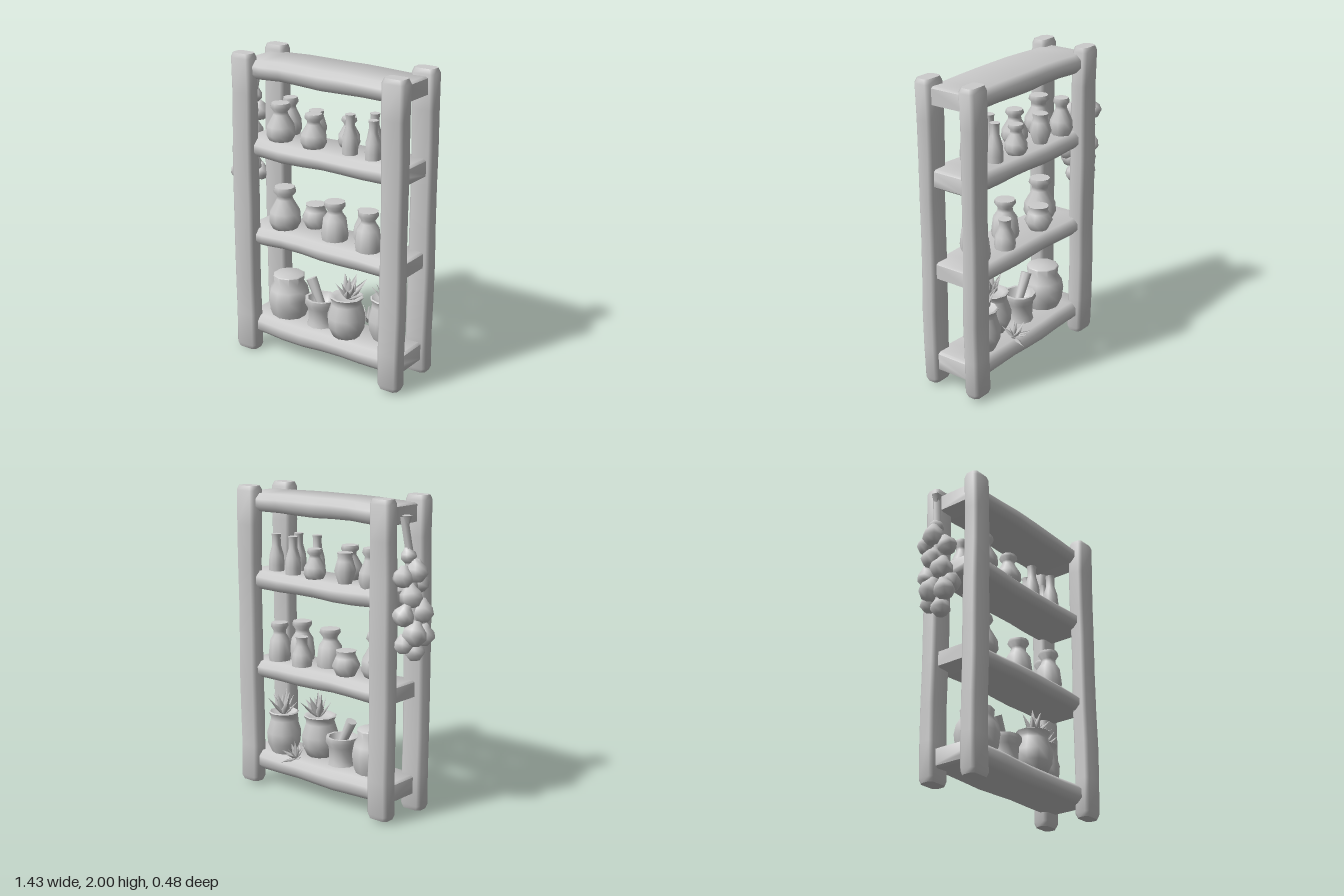
import * as THREE from 'three';
import { toCreasedNormals } from 'three/addons/utils/BufferGeometryUtils.js';

const grey = new THREE.MeshStandardMaterial({ color: 0xcccccc });
grey.name = 'clay grey';

// small repeatable wobble in -1..1
const wobble = (a, b) => Math.sin(a * 12.9 + b * 4.7 + 1.3) * Math.cos(a * 3.1 - b * 7.3);

// hand-hewn beam along y: chamfered rectangular section, slightly uneven
function beamGeometry(length, w, d, chamfer, seed, rough, rings = 8) {
  const x = w / 2, z = d / 2, c = chamfer;
  const section = [[x, -z + c], [x, z - c], [x - c, z], [-x + c, z],
    [-x, z - c], [-x, -z + c], [-x + c, -z], [x - c, -z]];
  const pos = [], index = [], n = section.length;
  const levels = [0, 0.015];
  for (let i = 1; i < rings; i++) levels.push(i / rings);
  levels.push(0.985, 1);
  levels.forEach((t, i) => {
    const k = t === 0 || t === 1 ? 0.01 : 0;
    const dx = wobble(seed, t * 3) * rough, dz = wobble(seed + 5, t * 3) * rough;
    const g = wobble(seed + 9, t * 4) * rough * 0.7;
    section.forEach(([px, pz]) => pos.push(
      px + dx + Math.sign(px) * (g - k), (t - 0.5) * length, pz + dz + Math.sign(pz) * (g - k)));
    if (i === 0) return;
    for (let j = 0; j < n; j++) {
      const a = (i - 1) * n + j, b = (i - 1) * n + (j + 1) % n;
      index.push(a, a + n, b, b, a + n, b + n);
    }
  });
  const top = (levels.length - 1) * n;
  for (let j = 1; j < n - 1; j++) {
    index.push(0, j, j + 1);
    index.push(top, top + j + 1, top + j);
  }
  const geo = new THREE.BufferGeometry();
  geo.setAttribute('position', new THREE.Float32BufferAttribute(pos, 3));
  geo.setIndex(index);
  return toCreasedNormals(geo, 0.95);
}

// vessel profiles as [radius, height] fractions of belly radius and full height
const PROFILES = {
  crock: [[0, 0], [0.78, 0], [0.93, 0.18], [1, 0.45], [0.92, 0.65], [0.72, 0.8], [0.76, 0.98], [0.7, 1], [0, 1]],
  planter: [[0, 0], [0.68, 0], [0.95, 0.25], [1, 0.5], [0.78, 0.8], [0.76, 0.88], [0.88, 0.98], [0.8, 1], [0.6, 0.94], [0, 0.93]],
  mortar: [[0, 0], [0.86, 0], [0.78, 0.2], [0.82, 0.66], [1, 0.85], [0.97, 1], [0.8, 1], [0.6, 0.7], [0, 0.65]],
  flask: [[0, 0], [0.75, 0], [1, 0.18], [0.95, 0.4], [0.5, 0.7], [0.48, 0.78], [0.7, 0.88], [0.62, 0.99], [0, 1]],
  jar: [[0, 0], [0.92, 0], [1, 0.15], [0.85, 0.55], [0.55, 0.7], [0.53, 0.78], [0.78, 0.9], [0.72, 0.99], [0, 1]],
  squat: [[0, 0], [0.6, 0], [1, 0.42], [0.75, 0.72], [0.66, 0.82], [0.72, 0.98], [0, 1]],
  slim: [[0, 0], [0.95, 0], [1, 0.2], [0.9, 0.45], [0.56, 0.7], [0.54, 0.9], [0.62, 1], [0, 1]],
  bulb: [[0, 0], [0.55, 0.06], [1, 0.35], [0.9, 0.62], [0.5, 0.85], [0.3, 1], [0, 1]],
};

function vesselGeometry(kind, radius, height, sides = 10) {
  const pts = PROFILES[kind].map(([r, h]) => new THREE.Vector2(r * radius, h * height));
  return toCreasedNormals(new THREE.LatheGeometry(pts, sides), 1.15);
}

function add(parent, name, geo, x = 0, y = 0, z = 0) {
  const mesh = new THREE.Mesh(geo, grey);
  mesh.name = name;
  mesh.position.set(x, y, z);
  parent.add(mesh);
  return mesh;
}

// rosette of broad pointed leaves, widest above the base
function leaves(parent, name, x, y, z, count, length, spread) {
  const tuft = new THREE.Group();
  tuft.name = name;
  tuft.position.set(x, y, z);
  const outline = [[0.06, 0], [0.17, 0.4], [0, 1]].map(([r, h]) => new THREE.Vector2(r * length, h * length));
  for (let i = 0; i < count; i++) {
    const geo = new THREE.LatheGeometry(outline, 4);
    geo.scale(1, 1, 0.35);
    const leaf = add(tuft, 'leaf', geo);
    leaf.rotation.order = 'YXZ';
    leaf.rotation.y = i * 2.4;
    leaf.rotation.x = spread * (0.2 + 0.8 * i / (count - 1));
    leaf.scale.setScalar(0.88 + 0.12 * wobble(i, count));
  }
  parent.add(tuft);
  return tuft;
}

export function createModel() {
  const model = new THREE.Group();
  model.name = 'shelfRack';

  // four posts
  [[-0.483, 0.19, 2.0, 0], [0.635, 0.19, 1.98, 1], [-0.473, -0.136, 1.98, 2], [0.637, -0.136, 1.98, 3]]
    .forEach(([x, z, h, s]) => add(model, 'post', beamGeometry(h, 0.153, 0.109, 0.02, s, 0.004), x, 2 - h / 2, z));

  // four boards
  [[1.9, 0.117], [1.39, 0.117], [0.8, 0.11], [0.168, 0.127]].forEach(([y, h], i) => {
    const geo = beamGeometry(1.19, h, 0.36, 0.035, i + 11, 0.006);
    geo.rotateZ(-Math.PI / 2);
    add(model, 'shelfBoard', geo, 0.085, y, 0.022);
  });

  // vessels: kind, x, z, radius, height
  const rows = [
    [0.225, [
      ['crock', -0.27, 0.03, 0.14, 0.295], ['mortar', -0.01, 0.03, 0.11, 0.19],
      ['planter', 0.22, 0.075, 0.126, 0.28], ['planter', 0.45, -0.03, 0.116, 0.285]]],
    [0.85, [
      ['flask', -0.275, 0.06, 0.107, 0.285], ['squat', -0.11, -0.05, 0.092, 0.17],
      ['jar', 0.11, 0.05, 0.09, 0.26], ['slim', 0.255, -0.06, 0.068, 0.2],
      ['jar', 0.385, 0.085, 0.086, 0.265], ['jar', 0.48, -0.03, 0.076, 0.26]]],
    [1.44, [
      ['flask', -0.285, 0.08, 0.095, 0.25], ['flask', -0.32, -0.07, 0.075, 0.25],
      ['squat', -0.11, -0.06, 0.07, 0.2], ['flask', -0.03, 0.08, 0.085, 0.22],
      ['flask', 0.14, -0.06, 0.072, 0.195], ['slim', 0.235, 0.07, 0.052, 0.255],
      ['slim', 0.335, -0.05, 0.052, 0.25], ['slim', 0.415, 0.09, 0.052, 0.25],
      ['slim', 0.5, -0.03, 0.052, 0.25]]],
  ];
  for (const [y, items] of rows)
    for (const [kind, x, z, r, h] of items)
      add(model, kind + 'Vessel', vesselGeometry(kind, r, h), x, y, z);

  // pestle leaning in the mortar
  const pestle = add(model, 'pestle', toCreasedNormals(new THREE.CylinderGeometry(0.036, 0.026, 0.2, 8), 0.9), -0.045, 0.44, 0.03);
  pestle.rotation.z = 0.45;

  // spiky plants, and one small plant drooping over the back edge
  leaves(model, 'frontPlant', 0.23, 0.475, 0.075, 12, 0.185, 0.85).rotation.z = -0.2;
  leaves(model, 'backPlant', 0.45, 0.475, -0.03, 12, 0.185, 0.8);
  leaves(model, 'fallenPlant', 0.25, 0.245, -0.125, 10, 0.125, 1.3).rotation.x = -0.4;

  // hanging string of bulbs on the left side: x, y, z, radius
  const bunch = new THREE.Group();
  bunch.name = 'bulbString';
  const cord = new THREE.CatmullRomCurve3([[-0.57, 1.9, -0.07], [-0.585, 1.75, -0.05], [-0.61, 1.5, -0.02], [-0.61, 1.12, 0.0]]
    .map(p => new THREE.Vector3(...p)));
  add(bunch, 'cord', new THREE.TubeGeometry(cord, 10, 0.025, 6));
  const knot = add(bunch, 'cordEnd', new THREE.ConeGeometry(0.035, 0.09, 5), -0.585, 1.86, -0.06);
  knot.rotation.x = Math.PI;
  [[-0.59, 1.67, -0.05, 0.05], [-0.635, 1.58, -0.03, 0.072], [-0.6, 1.55, -0.11, 0.066],
    [-0.6, 1.5, 0.05, 0.064], [-0.615, 1.43, -0.05, 0.074], [-0.63, 1.33, 0.04, 0.075],
    [-0.6, 1.32, -0.1, 0.07], [-0.575, 1.25, 0.06, 0.07], [-0.635, 1.2, -0.04, 0.078],
    [-0.63, 1.18, 0.06, 0.07], [-0.59, 1.14, -0.09, 0.06], [-0.6, 1.085, 0.01, 0.065]]
    .forEach(([x, y, z, r], i) => {
      const geo = vesselGeometry('bulb', r, r * 2, 7);
      geo.translate(0, -r, 0);
      const bulb = add(bunch, 'bulb', geo, x, y, z);
      bulb.rotation.set(wobble(i, 1) * 0.7, i, 0.35 * wobble(i, 3));
    });
  model.add(bunch);
  return model;
}
